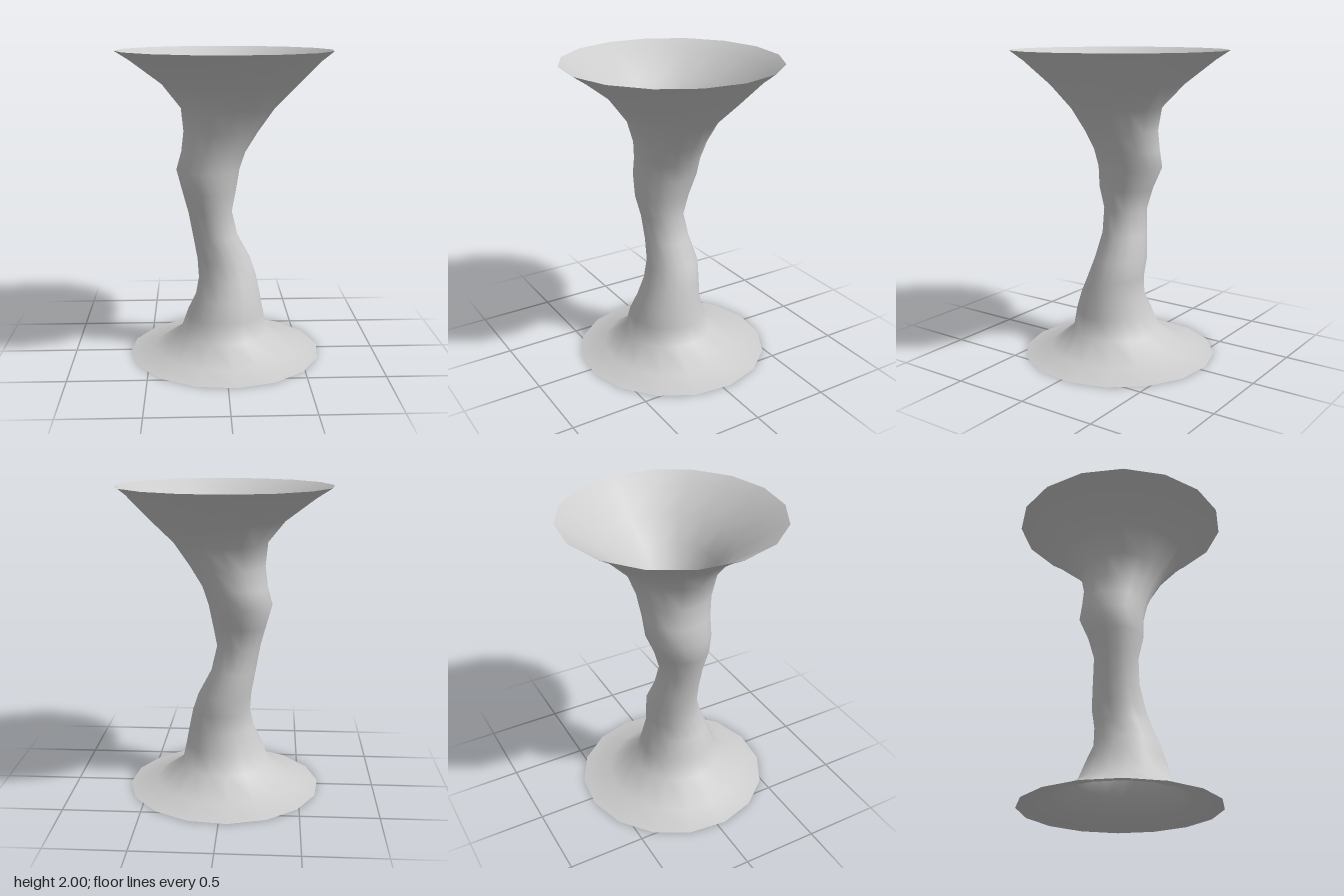
import * as THREE from 'three';

const SIDES = 16;
const START = THREE.MathUtils.degToRad(-5);

// Cross-sections from base to rim: [y, xMin, xMax, zMin, zMax]
const RINGS = [
  [0, -0.635, 0.635, -0.635, 0.635],
  [0.037, -0.465, 0.455, -0.445, 0.465],
  [0.15, -0.3, 0.285, -0.265, 0.32],
  [0.28, -0.255, 0.257, -0.215, 0.295],
  [0.4, -0.195, 0.235, -0.172, 0.25],
  [0.52, -0.172, 0.21, -0.17, 0.2],
  [0.64, -0.18, 0.17, -0.18, 0.165],
  [0.8, -0.208, 0.085, -0.15, 0.15],
  [0.96, -0.237, 0.048, -0.127, 0.16],
  [1.1, -0.275, 0.075, -0.165, 0.195],
  [1.24, -0.313, 0.1, -0.225, 0.2],
  [1.36, -0.28, 0.14, -0.228, 0.21],
  [1.49, -0.265, 0.22, -0.235, 0.235],
  [1.64, -0.28, 0.325, -0.28, 0.295],
  [1.79, -0.4, 0.475, -0.43, 0.41],
  [1.94, -0.6, 0.62, -0.61, 0.605],
  [2, -0.695, 0.695, -0.695, 0.695],
];

// Skin the cross-sections into one open, smooth tube
function loft(rings) {
  const positions = [];
  const indices = [];
  rings.forEach(([y, x0, x1, z0, z1], r) => {
    for (let i = 0; i < SIDES; i++) {
      const a = START + (i / SIDES) * Math.PI * 2;
      positions.push(
        (x0 + x1) / 2 + ((x1 - x0) / 2) * Math.cos(a),
        y,
        (z0 + z1) / 2 + ((z1 - z0) / 2) * Math.sin(a),
      );
      if (r === 0) continue;
      const next = (i + 1) % SIDES;
      const a0 = (r - 1) * SIDES + i;
      const a1 = (r - 1) * SIDES + next;
      const b0 = r * SIDES + i;
      const b1 = r * SIDES + next;
      indices.push(a0, b0, b1, a0, b1, a1);
    }
  });
  const geometry = new THREE.BufferGeometry();
  geometry.setAttribute('position', new THREE.Float32BufferAttribute(positions, 3));
  geometry.setIndex(indices);
  geometry.computeVertexNormals();
  return geometry;
}

export function createModel() {
  const group = new THREE.Group();
  group.name = 'windFunnel';

  const grey = new THREE.MeshStandardMaterial({ color: 0xcccccc, side: THREE.DoubleSide });
  grey.name = 'light grey';

  // Hollow funnel, open at the base and the rim
  const funnel = new THREE.Mesh(loft(RINGS), grey);
  funnel.name = 'funnel';
  group.add(funnel);
  return group;
}
